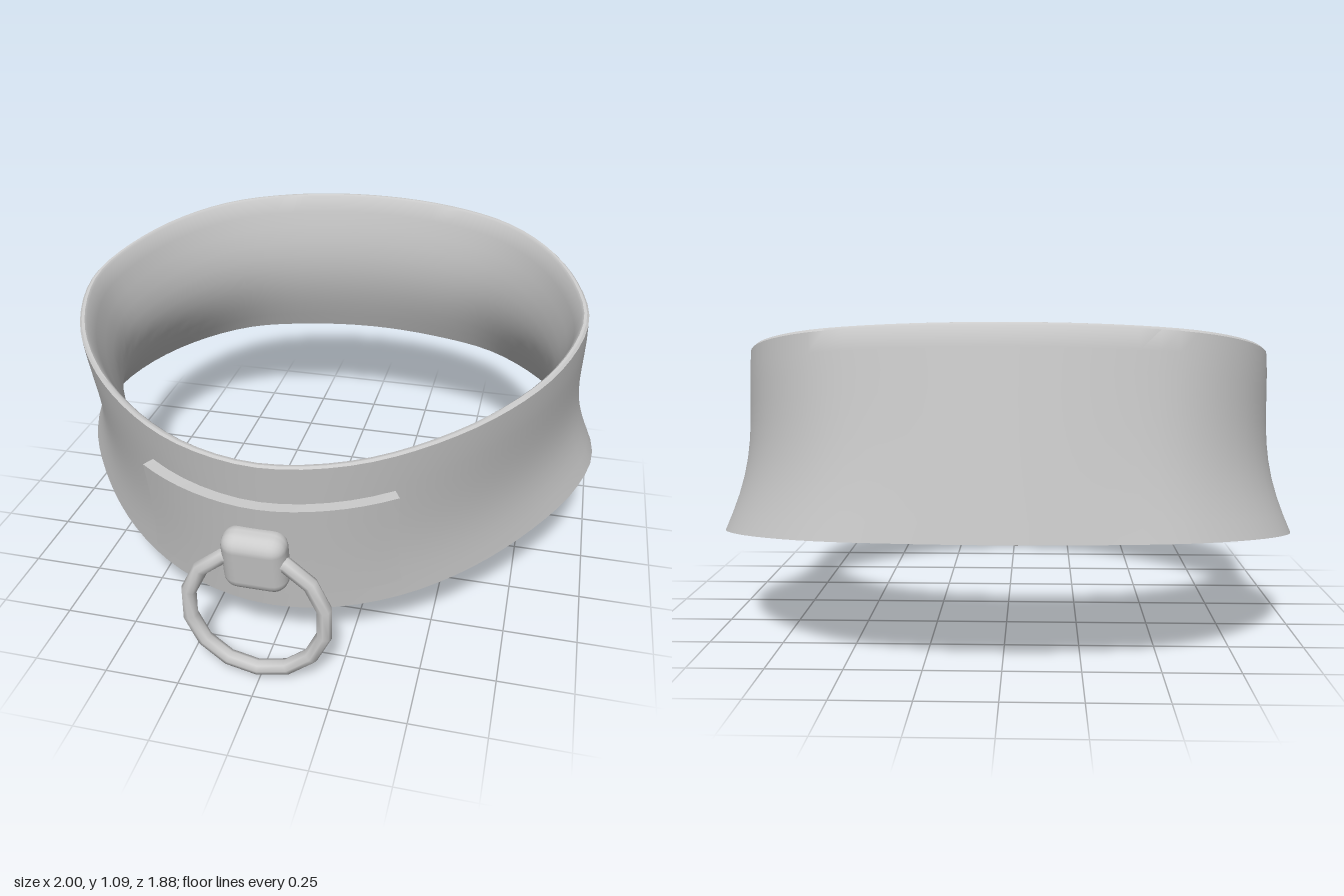
import * as THREE from 'three';
import { toCreasedNormals } from 'three/addons/utils/BufferGeometryUtils.js';
import { RoundedBoxGeometry } from 'three/addons/geometries/RoundedBoxGeometry.js';

const material = new THREE.MeshStandardMaterial({ color: 0xcccccc });

// Closed loop mirrored in x, from half an outline given as [x, z] from front to back
function mirroredLoop(half) {
  const mirror = half.slice(1, -1).reverse().map(([x, z]) => [-x, z]);
  const points = [...half, ...mirror].map(([x, z]) => new THREE.Vector3(x, 0, z));
  return new THREE.CatmullRomCurve3(points, true);
}

const topLoop = mirroredLoop([[0, 0.87], [0.22, 0.83], [0.42, 0.73], [0.66, 0.52], [0.84, 0.25],
  [0.92, -0.05], [0.88, -0.28], [0.76, -0.52], [0.58, -0.7], [0.32, -0.81], [0, -0.85]]);
const bottomLoop = mirroredLoop([[0, 0.76], [0.2, 0.73], [0.42, 0.63], [0.64, 0.45], [0.84, 0.2], [0.95, 0],
  [1, -0.2], [0.95, -0.42], [0.8, -0.65], [0.57, -0.83], [0.3, -0.91], [0, -0.94]]);

// Point on the band: u runs around from the front, v from top to bottom, offset pushes outward
function bandPoint(u, v, offset) {
  const w = ((u % 1) + 1) % 1;
  const a = topLoop.getPointAt(w);
  const b = bottomLoop.getPointAt(w);
  a.y = 0.93 - 0.175 * a.z;
  b.y = 0.3 - 0.16 * b.z;
  const p = a.lerp(b, v);
  p.x *= 1 - 0.045 * Math.sin(Math.PI * Math.pow(Math.max(v, 0), 1.3));
  const length = Math.hypot(p.x, p.z + 0.03);
  p.x += (offset * p.x) / length;
  p.z += (offset * (p.z + 0.03)) / length;
  return p;
}

// Surface through a grid of points with rows running down and columns running around
function gridGeometry(columns, rows, point) {
  const positions = [];
  const index = [];
  for (let j = 0; j <= rows; j++) {
    for (let i = 0; i <= columns; i++) {
      positions.push(...point(i, j).toArray());
      if (i < columns && j < rows) {
        const a = j * (columns + 1) + i;
        const c = a + columns + 1;
        index.push(a, c, a + 1, a + 1, c, c + 1);
      }
    }
  }
  const geometry = new THREE.BufferGeometry();
  geometry.setAttribute('position', new THREE.Float32BufferAttribute(positions, 3));
  geometry.setIndex(index);
  return toCreasedNormals(geometry, 0.7);
}

function addMesh(group, name, geometry) {
  const mesh = new THREE.Mesh(geometry, material);
  mesh.name = name;
  group.add(mesh);
  return mesh;
}

export function createModel() {
  const group = new THREE.Group();
  group.name = 'collar';

  // Band: down the outside, under the lower edge, up the inside and over the rim
  const steps = 10;
  const profile = [];
  for (let k = 0; k <= steps; k++) profile.push([k / steps, 0]);
  for (let k = steps; k >= 0; k--) {
    const v = k / steps;
    profile.push([v, -0.025 - 0.065 * Math.sin(Math.PI * v)]);
  }
  profile.push([-0.012, -0.017], [-0.012, -0.007], [0, 0]);
  const around = 80;
  addMesh(group, 'band', gridGeometry(around, profile.length - 1,
    (i, j) => bandPoint(i / around, profile[j][0], profile[j][1])));

  // Front plate follows the band; its outermost rows and columns drop into the band as edges
  const cols = 18;
  const rows = 8;
  addMesh(group, 'frontPlate', gridGeometry(cols, rows, (i, j) => {
    const s = THREE.MathUtils.clamp((i - 1) / (cols - 2), 0, 1);
    const t = THREE.MathUtils.clamp((j - 1) / (rows - 2), 0, 1);
    const border = i === 0 || j === 0 || i === cols || j === rows;
    return bandPoint((s - 0.5) * 0.152, 0.23 + 0.595 * t, border ? -0.015 : 0.042);
  }));

  // Stud that holds the ring, tilted with the band
  const stud = addMesh(group, 'stud', new RoundedBoxGeometry(0.21, 0.22, 0.11, 3, 0.05));
  stud.position.set(-0.01, 0.45, 0.875);
  stud.rotation.x = 0.17;

  // Hanging ring
  const ring = addMesh(group, 'ring', new THREE.TorusGeometry(0.227, 0.026, 8, 14));
  ring.position.set(-0.01, 0.253, 0.893);
  ring.rotation.z = Math.PI / 14;

  return group;
}
